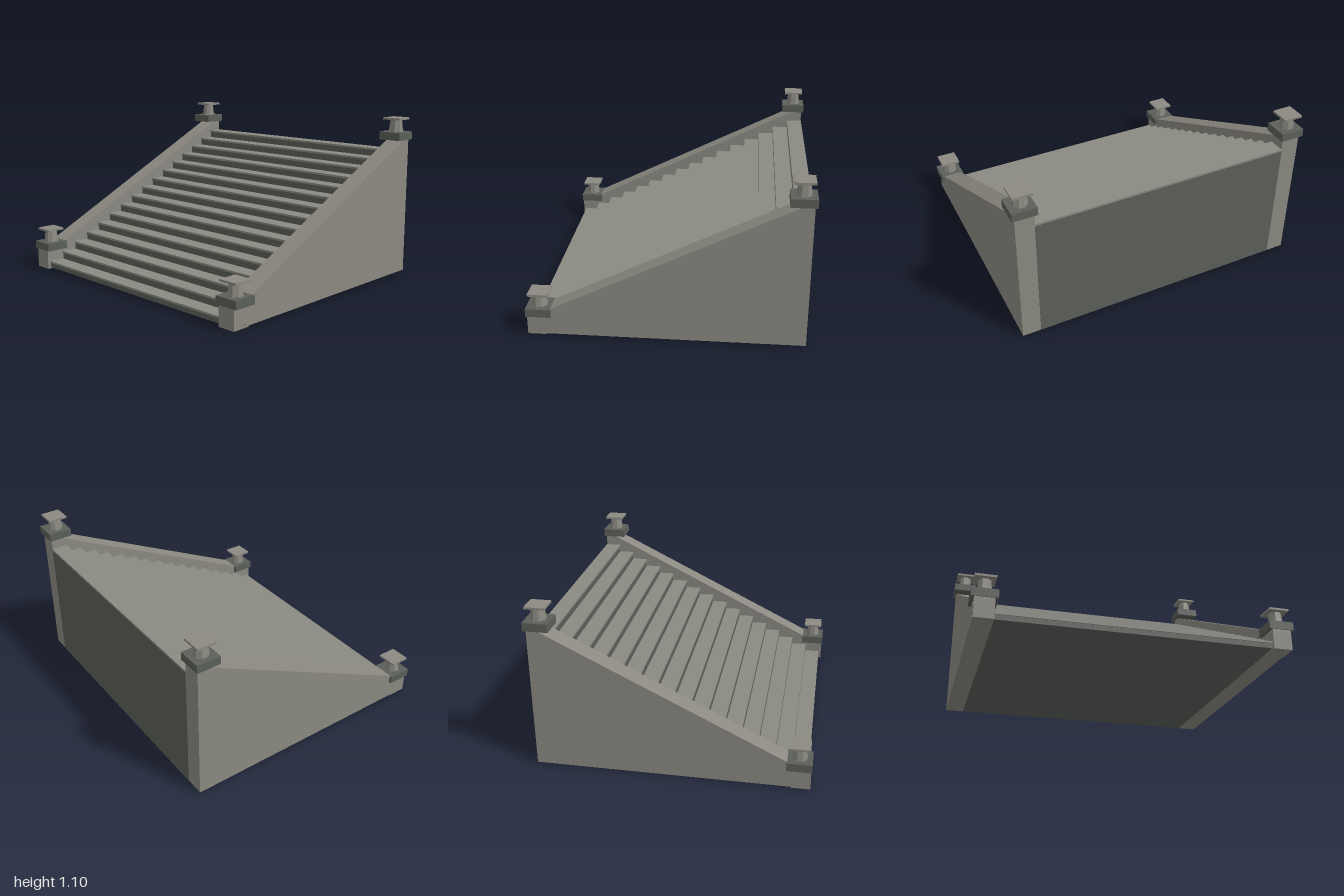
import * as THREE from 'three';

// Extrudes a (z, y) outline across x, centred on the given x
function slabAcrossX(points, width, x) {
  const shape = new THREE.Shape(points.map(([z, y]) => new THREE.Vector2(z, y)));
  const geo = new THREE.ExtrudeGeometry(shape, { depth: width, bevelEnabled: false });
  geo.translate(0, 0, -width / 2);
  geo.rotateY(-Math.PI / 2);
  geo.translate(x, 0, 0);
  return geo;
}

export function createModel() {
  const stone = new THREE.MeshStandardMaterial({ color: 0x8b8981 });
  stone.name = 'lightStone';
  const treadStone = new THREE.MeshStandardMaterial({ color: 0x8a8a82 });
  treadStone.name = 'treadStone';
  const dark = new THREE.MeshStandardMaterial({ color: 0x5b5f59 });
  dark.name = 'darkStone';

  const model = new THREE.Group();
  model.name = 'staircase';

  const add = (parent, name, geo, mat, x = 0, y = 0, z = 0) => {
    const mesh = new THREE.Mesh(geo, mat);
    mesh.name = name;
    mesh.position.set(x, y, z);
    parent.add(mesh);
  };
  const box = (w, h, d) => new THREE.BoxGeometry(w, h, d);

  // Flight of steps: dark stepped core with pale tread slabs
  const steps = 16, front = 0.862, back = -0.872, top = 0.87, base = 0.008;
  const run = (front - back) / steps, rise = top / steps;
  const slab = 0.013, nosing = 0.006, width = 1.72;
  const outline = [[back, base], [front - nosing, base]];
  for (let i = 0; i < steps; i++) {
    const z = front - nosing - i * run;
    const y = (i + 1) * rise - slab;
    outline.push([z, y], [i === steps - 1 ? back : z - run, y]);
  }
  add(model, 'stepCore', slabAcrossX(outline, width, 0), dark);

  const treads = new THREE.Group();
  treads.name = 'treads';
  model.add(treads);
  const treadGeo = box(width, slab, run);
  for (let i = 0; i < steps; i++) {
    add(treads, 'tread', treadGeo, treadStone, 0, (i + 1) * rise - slab / 2, front - (i + 0.5) * run);
  }

  // Square cap, tapered eight-sided neck and top plate
  const neckGeo = new THREE.CylinderGeometry(0.039, 0.05, 0.085, 8, 1).toNonIndexed();
  neckGeo.rotateY(Math.PI / 8);
  neckGeo.computeVertexNormals();
  const finial = (name, x, y, z) => {
    const g = new THREE.Group();
    g.name = name;
    g.position.set(x, y, z);
    add(g, 'cap', box(0.16, 0.054, 0.16), dark, 0, 0.027, 0);
    add(g, 'neck', neckGeo, stone, 0, 0.0955, 0);
    add(g, 'topPlate', box(0.13, 0.014, 0.13), stone, 0, 0.144, 0);
    model.add(g);
  };

  // Side walls, sloping copings, posts and finials, mirrored
  for (const [side, s] of [['left', 1], ['right', -1]]) {
    const x = s * 0.92;
    const wall = [[-0.87, 0.007], [0.79, 0.007], [0.79, 0.131], [-0.87, 0.945]];
    add(model, side + 'Wall', slabAcrossX(wall, 0.124, x), stone);
    const coping = [[0.79, 0.131], [0.79, 0.156], [-0.87, 0.976], [-0.87, 0.945]];
    add(model, side + 'Coping', slabAcrossX(coping, 0.128, x), stone);
    add(model, side + 'FrontPost', box(0.122, 0.14, 0.12), stone, x, 0.07, 0.82);
    finial(side + 'FrontFinial', x, 0.132, 0.805);
    finial(side + 'BackFinial', x, 0.944, -0.805);
  }
  return model;
}
